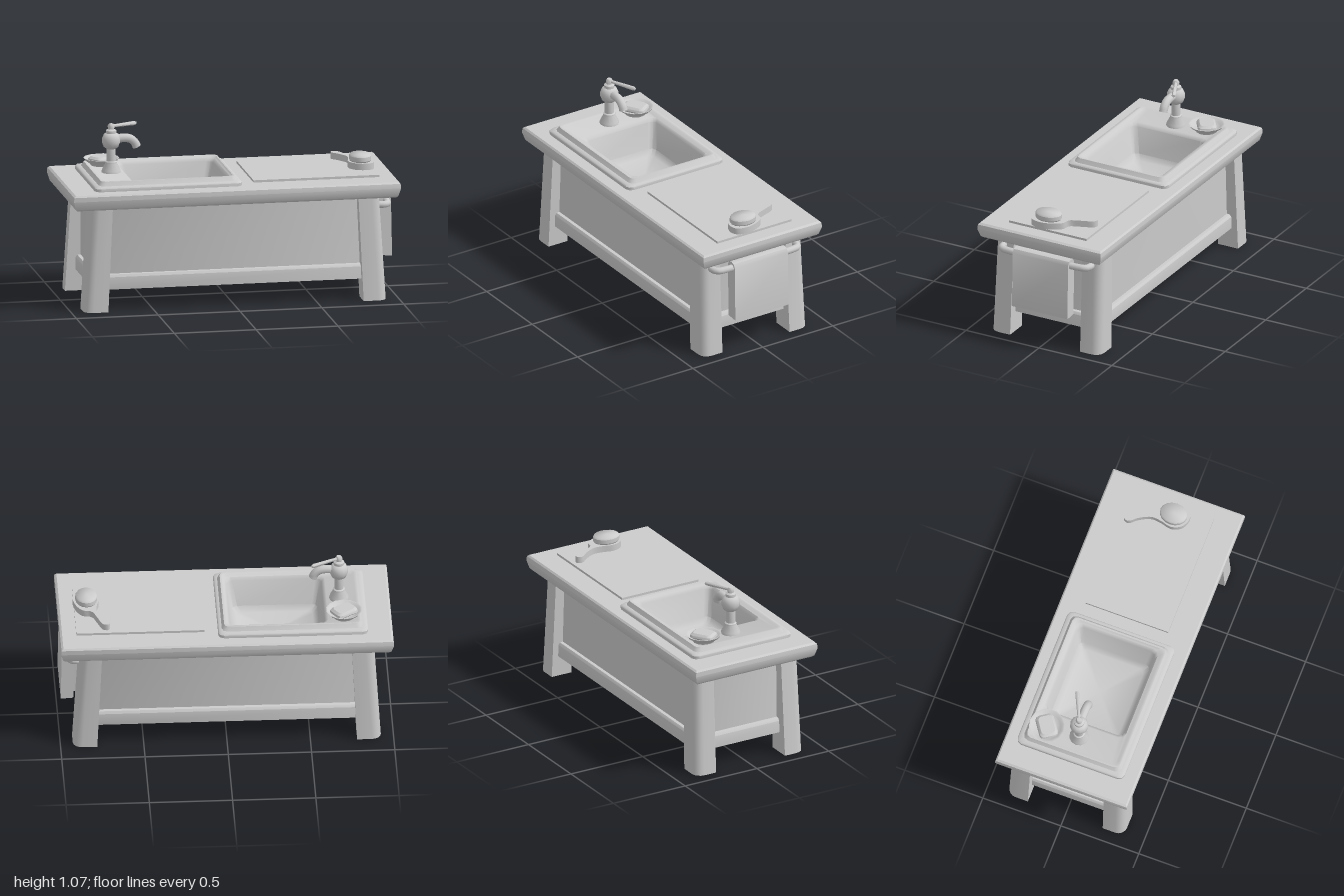
import * as THREE from 'three';
import { toCreasedNormals } from 'three/addons/utils/BufferGeometryUtils.js';

const material = new THREE.MeshStandardMaterial({ color: 0xcccccc });

// Skins a stack of equal-length rings; each ring runs from +x towards +z.
function loft(rings, { capStart = false, capEnd = false, crease = 0.6 } = {}) {
  const n = rings[0].length, pos = [], idx = [];
  rings.forEach(r => r.forEach(p => pos.push(...p)));
  for (let j = 0; j < rings.length - 1; j++) {
    for (let i = 0; i < n; i++) {
      const a = j * n + i, b = j * n + (i + 1) % n;
      idx.push(a, a + n, b, b, a + n, b + n);
    }
  }
  const cap = (j, up) => {
    const c = pos.length / 3;
    pos.push(...[0, 1, 2].map(k => rings[j].reduce((s, p) => s + p[k], 0) / n));
    for (let i = 0; i < n; i++) {
      const a = j * n + i, b = j * n + (i + 1) % n;
      idx.push(c, up ? b : a, up ? a : b);
    }
  };
  if (capStart) cap(0, false);
  if (capEnd) cap(rings.length - 1, true);
  const g = new THREE.BufferGeometry();
  g.setAttribute('position', new THREE.Float32BufferAttribute(pos, 3));
  g.setIndex(idx);
  return toCreasedNormals(g, crease);
}

// Rectangle with rounded corners at height y, given by its extents.
function rect(x0, x1, z0, z1, y, r = 0.001, seg = 2) {
  const pts = [];
  const corners = [[x1 - r, z1 - r], [x0 + r, z1 - r], [x0 + r, z0 + r], [x1 - r, z0 + r]];
  corners.forEach(([cx, cz], q) => {
    for (let k = 0; k <= seg; k++) {
      const a = (q + k / seg) * Math.PI / 2;
      pts.push([cx + r * Math.cos(a), y, cz + r * Math.sin(a)]);
    }
  });
  return pts;
}

export function createModel() {
  const model = new THREE.Group();
  const add = (name, geometry, parent = model) => {
    const mesh = new THREE.Mesh(geometry, material);
    mesh.name = name;
    parent.add(mesh);
    return mesh;
  };
  const lathe = (pts, seg, crease = 0.9) =>
    toCreasedNormals(new THREE.LatheGeometry(pts.map(p => new THREE.Vector2(...p)), seg), crease);
  const curve = (pts, closed = false) =>
    new THREE.CatmullRomCurve3(pts.map(p => new THREE.Vector3(...p)), closed);

  // Countertop with a rounded edge and a cut-out for the basin
  add('countertop', loft([
    rect(-0.7, 0.02, -0.285, 0.275, 0.635),
    rect(-0.975, 0.975, -0.4, 0.4, 0.635),
    rect(-0.985, 0.985, -0.41, 0.41, 0.645),
    rect(-1, 1, -0.424, 0.424, 0.695),
    rect(-0.997, 0.997, -0.421, 0.421, 0.722),
    rect(-0.985, 0.985, -0.412, 0.412, 0.732),
    rect(-0.7, 0.02, -0.285, 0.275, 0.732),
    rect(-0.7, 0.02, -0.285, 0.275, 0.635),
  ]));

  // Cabinet walls and the thicker plinth below them
  add('cabinet', loft([
    rect(-0.83, 0.83, -0.305, 0.305, 0.2),
    rect(-0.83, 0.83, -0.305, 0.305, 0.64),
  ], { capStart: true }));
  add('plinth', loft([
    rect(-0.86, 0.86, -0.335, 0.335, 0.13),
    rect(-0.86, 0.86, -0.335, 0.335, 0.205),
    rect(-0.85, 0.85, -0.325, 0.325, 0.22),
    rect(-0.82, 0.82, -0.295, 0.295, 0.222),
  ], { capStart: true, capEnd: true }));

  // Four tapering legs, rounded on the outer corner
  for (const sx of [-1, 1]) for (const sz of [-1, 1]) {
    const section = (xIn, xOut, zIn, zOut, y) => {
      const r = 0.055, pts = [[xIn, zIn], [xOut, zIn]];
      for (let k = 0; k <= 4; k++) {
        const a = k * Math.PI / 8;
        pts.push([xOut - r + r * Math.cos(a), zOut - r + r * Math.sin(a)]);
      }
      pts.push([xIn, zOut]);
      const ring = pts.map(([x, z]) => [sx * x, y, sz * z]);
      return sx * sz < 0 ? ring.reverse() : ring;
    };
    add('leg', loft([
      section(0.78, 0.925, 0.24, 0.376, 0),
      section(0.75, 0.885, 0.234, 0.364, 0.645),
    ], { capStart: true, capEnd: true }));
  }

  // Sink: stepped rim, raised lip, deck and basin
  add('sink', loft([
    rect(-0.85, 0.05, -0.345, 0.34, 0.73, 0.035),
    rect(-0.85, 0.05, -0.345, 0.34, 0.75, 0.035),
    rect(-0.843, 0.043, -0.338, 0.333, 0.758, 0.035),
    rect(-0.82, 0.028, -0.315, 0.31, 0.76, 0.035),
    rect(-0.805, 0.013, -0.3, 0.295, 0.785, 0.03),
    rect(-0.79, 0.002, -0.288, 0.283, 0.785, 0.03),
    rect(-0.78, -0.006, -0.278, 0.273, 0.776, 0.03),
    rect(-0.615, -0.012, -0.268, 0.258, 0.774, 0.035),
    rect(-0.595, -0.025, -0.255, 0.245, 0.755, 0.035),
    rect(-0.57, -0.055, -0.235, 0.22, 0.59, 0.035),
    rect(-0.54, -0.085, -0.205, 0.19, 0.56, 0.03),
  ], { capEnd: true, crease: 0.8 }));

  // Faucet: turned column, curved spout and lever
  const faucet = new THREE.Group();
  faucet.name = 'faucet';
  faucet.position.set(-0.69, 0, 0);
  model.add(faucet);
  add('faucetColumn', lathe([
    [0, 0.77], [0.06, 0.77], [0.057, 0.79], [0.036, 0.83], [0.036, 0.84], [0.028, 0.845],
    [0.028, 0.92], [0.045, 0.932], [0.055, 0.958], [0.055, 0.985], [0.045, 1.008],
    [0.032, 1.015], [0.032, 1.032], [0.019, 1.04], [0.021, 1.06], [0.014, 1.072], [0, 1.074],
  ], 12), faucet);
  const spoutPath = curve([[0, 0.972, 0], [0.07, 0.982, 0], [0.115, 0.976, 0], [0.145, 0.952, 0], [0.157, 0.925, 0]]);
  add('spout', new THREE.TubeGeometry(spoutPath, 12, 0.026, 10), faucet);
  const spoutEnd = add('spoutEnd', new THREE.CircleGeometry(0.026, 10), faucet);
  spoutEnd.position.copy(spoutPath.getPoint(1));
  spoutEnd.quaternion.setFromUnitVectors(new THREE.Vector3(0, 0, 1), spoutPath.getTangent(1));
  const lever = add('lever', lathe([[0, 0], [0.009, 0], [0.013, 0.17], [0.009, 0.183], [0, 0.184]], 8), faucet);
  lever.position.set(0, 1.057, 0);
  lever.quaternion.setFromUnitVectors(new THREE.Vector3(0, 1, 0), new THREE.Vector3(0.17, -0.004, -0.078).normalize());

  // Soap in its dish
  const soapDish = new THREE.Group();
  soapDish.name = 'soapDish';
  soapDish.position.set(-0.71, 0.775, -0.2);
  model.add(soapDish);
  add('dish', lathe([
    [0, 0], [0.065, 0], [0.07, 0.012], [0.095, 0.028], [0.108, 0.045],
    [0.098, 0.044], [0.085, 0.03], [0.06, 0.02], [0, 0.02],
  ], 14), soapDish);
  const soap = add('soap', loft([
    rect(-0.06, 0.06, -0.045, 0.045, 0.018, 0.02),
    rect(-0.075, 0.075, -0.058, 0.058, 0.032, 0.025),
    rect(-0.072, 0.072, -0.055, 0.055, 0.045, 0.025),
    rect(-0.058, 0.058, -0.042, 0.042, 0.057, 0.02),
  ], { capStart: true, capEnd: true }), soapDish);
  soap.rotation.y = 0.6;

  // Cutting board
  const board = add('board', new THREE.BoxGeometry(0.77, 0.02, 0.53));
  board.position.set(0.515, 0.736, -0.005);

  // Brush: outline extruded downwards, with a round pad on the head
  const outline = curve([
    [0.705, -0.242, 0], [0.738, -0.235, 0], [0.768, -0.165, 0], [0.8, -0.095, 0], [0.85, -0.082, 0],
    [0.888, -0.03, 0], [0.906, 0.05, 0], [0.885, 0.115, 0], [0.83, 0.128, 0], [0.775, 0.1, 0],
    [0.75, 0.04, 0], [0.765, -0.03, 0], [0.768, -0.09, 0], [0.735, -0.16, 0], [0.695, -0.212, 0],
  ], true).getPoints(48).slice(0, -1).map(p => new THREE.Vector2(p.x, p.y));
  const brushGeo = new THREE.ExtrudeGeometry(new THREE.Shape(outline), { depth: 0.04, bevelEnabled: false });
  brushGeo.rotateX(Math.PI / 2);
  const brush = add('brush', toCreasedNormals(brushGeo, 0.6));
  brush.position.y = 0.787;
  const pad = add('brushPad', lathe([[0, 0], [0.92, 0], [1, 0.01], [1, 0.035], [0.9, 0.045], [0, 0.045]], 16));
  pad.scale.set(0.066, 1, 0.084);
  pad.position.set(0.826, 0.784, 0.03);

  // Towel rail bent into the legs, and the towel over it
  add('towelRail', new THREE.TubeGeometry(curve([
    [0.86, 0.572, 0.295], [0.91, 0.572, 0.3], [0.94, 0.572, 0.285], [0.95, 0.572, 0.24],
    [0.95, 0.572, -0.24], [0.94, 0.572, -0.285], [0.91, 0.572, -0.3], [0.86, 0.572, -0.295],
  ]), 40, 0.021, 10));
  const drape = new THREE.Shape([
    [0.915, 0.235], [0.99, 0.23], [0.983, 0.58], [0.97, 0.603], [0.945, 0.61], [0.92, 0.603], [0.908, 0.58],
  ].map(p => new THREE.Vector2(...p)));
  const towelGeo = new THREE.ExtrudeGeometry(drape, { depth: 0.38, bevelEnabled: false });
  add('towel', toCreasedNormals(towelGeo, 0.7)).position.z = -0.19;

  return model;
}
